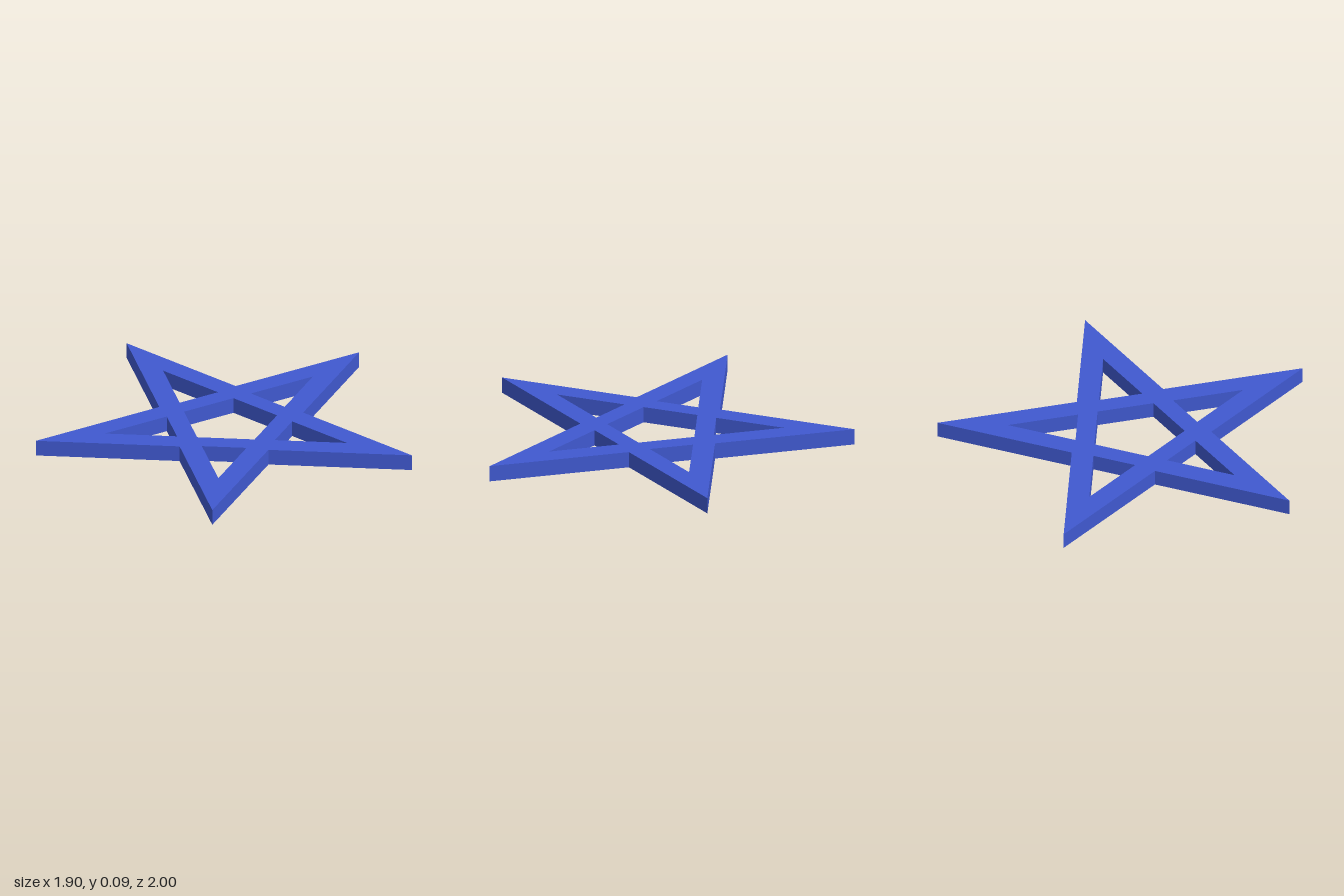
import * as THREE from 'three';

const HEIGHT = 0.087;
const TIP = 1.0515;        // radius of the star's points
const NOTCH = 0.402;       // radius of the outer notches
const CORE = 0.26;         // radius of the central pentagon opening
const HOLE_TIP = 0.677;    // each point's triangular opening
const HOLE_BASE = 0.312;
const STEP = (Math.PI * 2) / 5;

const polar = (r, a) => new THREE.Vector2(r * Math.cos(a), r * Math.sin(a));

export function createModel() {
  const group = new THREE.Group();
  group.name = 'starOrnament';

  // Star outline and central pentagon opening
  const outline = [];
  const core = [];
  for (let i = 0; i < 5; i++) {
    outline.push(polar(TIP, i * STEP), polar(NOTCH, (i + 0.5) * STEP));
    core.push(polar(CORE, (i + 0.5) * STEP));
  }
  const shape = new THREE.Shape(outline);
  shape.holes.push(new THREE.Path(core));

  // Triangular opening in each point
  const half = (HOLE_TIP - HOLE_BASE) * Math.tan(Math.PI / 10);
  const origin = new THREE.Vector2();
  for (let i = 0; i < 5; i++) {
    const triangle = [[HOLE_TIP, 0], [HOLE_BASE, half], [HOLE_BASE, -half]]
      .map(([x, y]) => new THREE.Vector2(x, y).rotateAround(origin, i * STEP));
    shape.holes.push(new THREE.Path(triangle));
  }

  // Flat plate lying on the ground, one point towards +x
  const geometry = new THREE.ExtrudeGeometry(shape, { depth: HEIGHT, bevelEnabled: false });
  geometry.rotateX(-Math.PI / 2);
  geometry.translate(-TIP * (1 - Math.cos(Math.PI / 5)) / 2, 0, 0);

  const star = new THREE.Mesh(geometry, new THREE.MeshStandardMaterial({ color: 0x4059d0 }));
  star.name = 'starFrame';
  group.add(star);
  return group;
}
